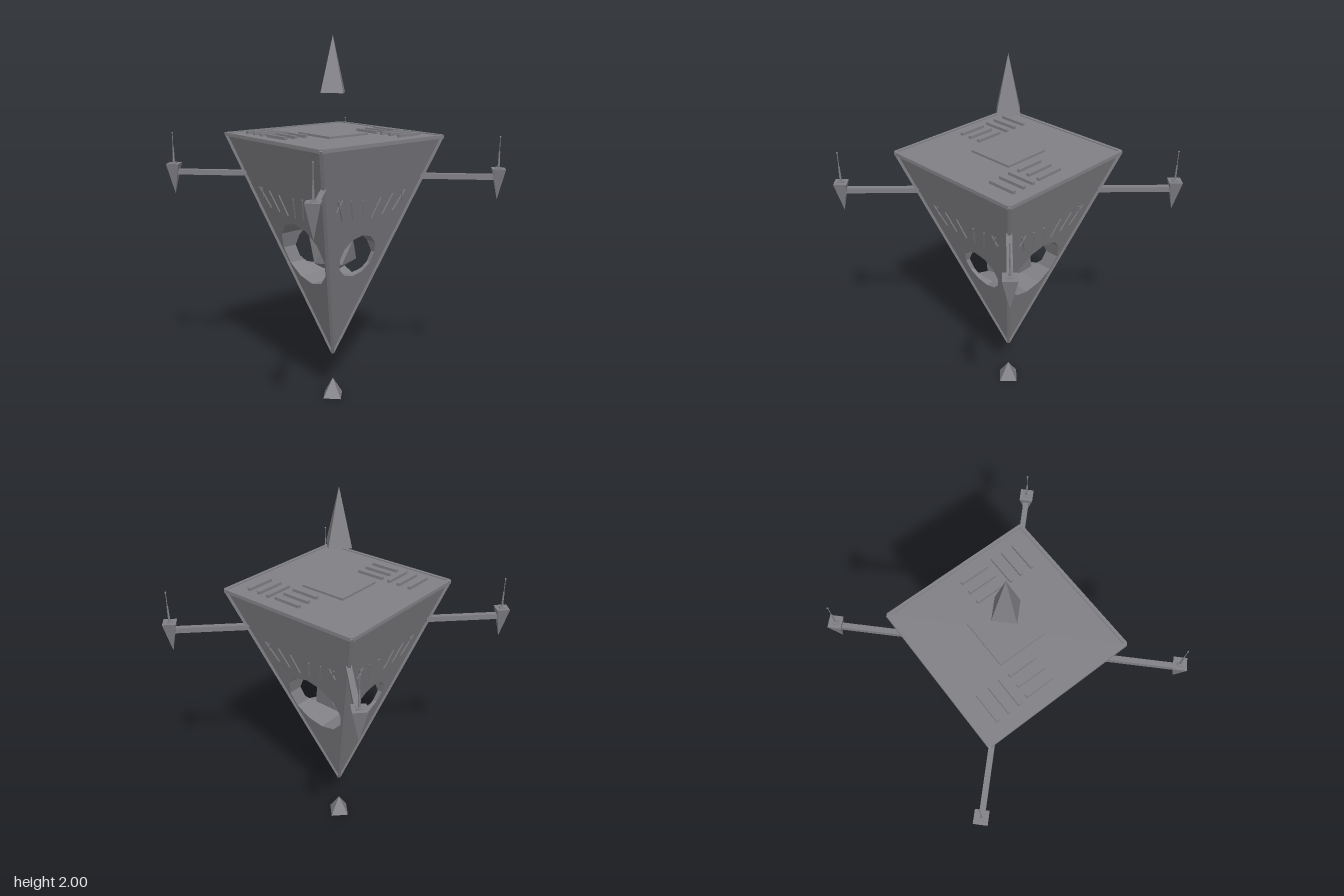
import * as THREE from 'three';

const TOP = 1.5, APEX = 0.26, HALF = 0.4, CORE_Y = 0.885;
const WIDE = 0.175, NARROW = 0.121; // tunnel radii along x and along z
const SLOPE = HALF / (TOP - APEX);
const faceDepth = (y) => SLOPE * (y - APEX);

// Half chord of a twelve-sided circle at height dy above its centre
function chord(r, dy) {
  for (let i = 0; i < 6; i++) {
    const a = i * Math.PI / 6, b = a + Math.PI / 6;
    const y0 = r * Math.cos(a), y1 = r * Math.cos(b);
    if (dy <= y0 + 1e-9 && dy >= y1 - 1e-9) {
      return THREE.MathUtils.lerp(r * Math.sin(a), r * Math.sin(b), (y0 - dy) / (y0 - y1));
    }
  }
  return 0;
}

// Tunnel wall running along x, opened where the crossing tunnel meets it
function tunnelGeometry(own, other) {
  const levels = [];
  for (let i = 0; i <= 6; i++) for (const r of [own, other]) {
    const dy = r * Math.cos(i * Math.PI / 6);
    if (Math.abs(dy) <= own + 1e-9) levels.push(dy);
  }
  levels.sort((a, b) => a - b);
  const pos = [];
  for (let i = 0; i + 1 < levels.length; i++) {
    const lo = levels[i], hi = levels[i + 1];
    if (hi - lo < 1e-6) continue;
    for (const sx of [-1, 1]) for (const sz of [-1, 1]) {
      const row = (dy) => {
        const y = CORE_Y + dy, z = sz * chord(own, dy);
        return [[sx * chord(other, dy), y, z], [sx * faceDepth(y), y, z]];
      };
      const [a, b] = row(lo), [d, c] = row(hi);
      const quad = sx * sz > 0 ? [a, b, c, a, c, d] : [a, c, b, a, d, c];
      pos.push(...quad.flat());
    }
  }
  const g = new THREE.BufferGeometry();
  g.setAttribute('position', new THREE.Float32BufferAttribute(pos, 3));
  g.computeVertexNormals();
  return g;
}

// Sloping triangular hull face with a twelve-sided opening
function hullFaceGeometry(r) {
  const shape = new THREE.Shape([
    new THREE.Vector2(0, APEX), new THREE.Vector2(HALF, TOP), new THREE.Vector2(-HALF, TOP)]);
  const ring = [];
  for (let i = 0; i < 12; i++) {
    const a = i * Math.PI / 6;
    ring.push(new THREE.Vector2(r * Math.sin(a), CORE_Y + r * Math.cos(a)));
  }
  shape.holes.push(new THREE.Path(ring));
  const g = new THREE.ShapeGeometry(shape);
  const p = g.attributes.position;
  for (let i = 0; i < p.count; i++) p.setZ(i, faceDepth(p.getY(i)));
  g.computeVertexNormals();
  return g;
}

export function createModel() {
  const model = new THREE.Group();
  model.name = 'invertedPyramidStation';
  const stone = new THREE.MeshStandardMaterial({
    name: 'slateGrey', color: 0x808085, flatShading: true, side: THREE.DoubleSide });

  const add = (name, geometry, x = 0, y = 0, z = 0, parent = model) => {
    const mesh = new THREE.Mesh(geometry, stone);
    mesh.name = name;
    mesh.position.set(x, y, z);
    parent.add(mesh);
    return mesh;
  };
  // Square beam between two points
  const beam = (name, a, b, w, h = w, parent = model) => {
    const from = new THREE.Vector3(...a), to = new THREE.Vector3(...b);
    const mesh = add(name, new THREE.BoxGeometry(w, h, from.distanceTo(to)), 0, 0, 0, parent);
    mesh.position.copy(from).lerp(to, 0.5);
    const q = new THREE.Matrix4().lookAt(to, from, new THREE.Vector3(0, 1, 0));
    mesh.quaternion.setFromRotationMatrix(q);
    return mesh;
  };
  const spike = (r, h) => new THREE.ConeGeometry(r, h, 4);

  // Four hull sides, each with a zigzag of raised ribs
  for (let i = 0; i < 4; i++) {
    const side = new THREE.Group();
    side.name = 'hullSide';
    side.rotation.y = i * Math.PI / 2;
    model.add(side);
    add('hullFace', hullFaceGeometry(i % 2 ? WIDE : NARROW), 0, 0, 0, side);
    const on = (x, y) => [x, y, faceDepth(y)];
    for (const s of [-1, 1]) {
      beam('rib', on(s * 0.225, 1.23), on(s * 0.17, 1.12), 0.006, 0.008, side);
      beam('rib', on(s * 0.20, 1.23), on(s * 0.22, 1.17), 0.006, 0.008, side);
      beam('rib', on(s * 0.14, 1.22), on(s * 0.10, 1.11), 0.006, 0.008, side);
      beam('rib', on(s * 0.06, 1.21), on(s * 0.03, 1.10), 0.006, 0.008, side);
    }
    // Rim and corner edging
    beam('rimEdge', [-HALF, TOP - 0.004, HALF], [HALF, TOP - 0.004, HALF], 0.018, 0.018, side);
    beam('cornerEdge', [HALF, TOP, HALF], [0, APEX + 0.005, 0], 0.016, 0.016, side);

    // Diagonal arm with hanging spike and antenna
    const arm = new THREE.Group();
    arm.name = 'outrigger';
    side.add(arm);
    beam('armBeam', [0.325, 1.29, 0.325], [0.605, 1.29, 0.605], 0.028, 0.028, arm);
    add('armSpike', spike(0.048, 0.165), 0.607, 1.2525, 0.607, arm).rotation.x = Math.PI;
    add('antennaBase', new THREE.CylinderGeometry(0.02, 0.02, 0.008, 4), 0.607, 1.337, 0.607, arm);
    add('antennaFoot', new THREE.CylinderGeometry(0.004, 0.006, 0.085, 6), 0.607, 1.38, 0.607, arm);
    add('antennaMast', new THREE.CylinderGeometry(0.002, 0.002, 0.08, 6), 0.607, 1.46, 0.607, arm);
    add('antennaTip', new THREE.SphereGeometry(0.005, 6, 4), 0.607, 1.497, 0.607, arm);
  }

  // Top deck
  const deck = add('deck', new THREE.PlaneGeometry(2 * HALF, 2 * HALF), 0, TOP, 0);
  deck.rotation.x = -Math.PI / 2;
  add('deckSlab', new THREE.BoxGeometry(0.26, 0.014, 0.26), 0, TOP + 0.004, 0);
  for (const s of [-1, 1]) {
    for (const z of [0.175, 0.235, 0.3]) {
      add('deckBar', new THREE.BoxGeometry(0.155, 0.03, 0.017), s * 0.257, TOP, s * z);
    }
    for (const x of [0.194, 0.257, 0.319]) {
      add('deckBar', new THREE.BoxGeometry(0.017, 0.03, 0.155), s * x, TOP, s * 0.053);
    }
  }

  // Crossing tunnels and the core inside them
  add('sideTunnel', tunnelGeometry(WIDE, NARROW));
  add('frontTunnel', tunnelGeometry(NARROW, WIDE)).rotation.y = Math.PI / 2;
  const core = add('core', new THREE.IcosahedronGeometry(0.143, 0), 0, CORE_Y, 0);
  core.rotation.z = -Math.atan(2 / (1 + Math.sqrt(5)));

  // Floating spires above and below
  add('upperSpire', spike(0.082, 0.285), 0, 1.8575, 0);
  add('lowerSpire', spike(0.07, 0.108), 0, 0.054, 0);
  return model;
}
